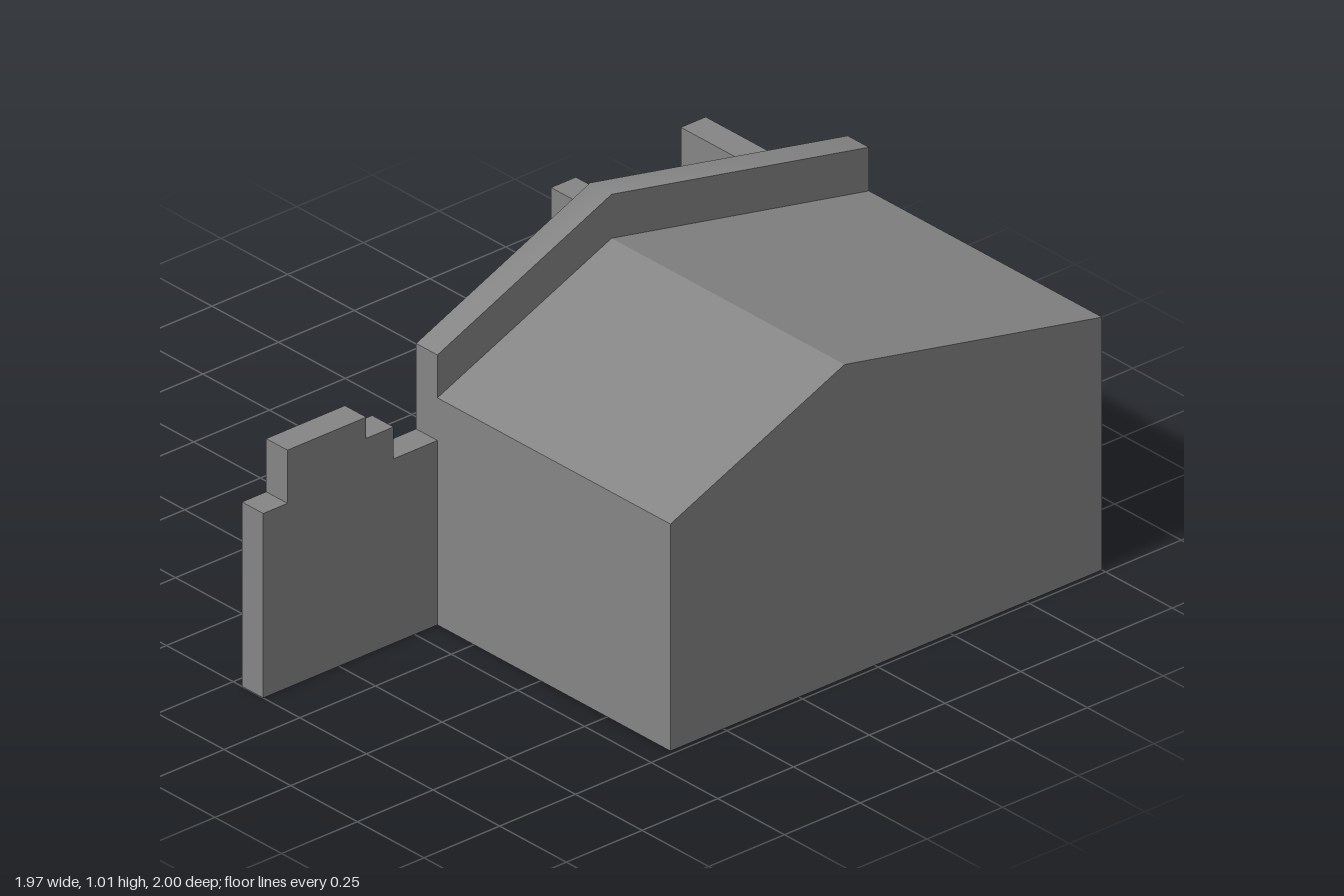
import * as THREE from 'three';
import { toCreasedNormals } from 'three/addons/utils/BufferGeometryUtils.js';

const material = new THREE.MeshStandardMaterial({ color: 0x858585 });

function slab(name, points, depth) {
  const shape = new THREE.Shape(points.map(([a, b]) => new THREE.Vector2(a, b)));
  const mesh = new THREE.Mesh(
    new THREE.ExtrudeGeometry(shape, { depth, bevelEnabled: false }), material);
  mesh.name = name;
  return mesh;
}

// Outline given as (z, y), running across from x0 to x1
function sideSlab(name, points, x0, x1) {
  const mesh = slab(name, points, x1 - x0);
  mesh.geometry.rotateY(-Math.PI / 2);
  mesh.position.x = x1;
  return mesh;
}

export function createModel() {
  const group = new THREE.Group();
  group.name = 'ruinedHouse';

  const back = -1, front = 0.425, ridge = -0.15;
  const wallX0 = 0.033, wallX1 = 0.113, right = 0.987;

  // House body with its uneven pitched roof
  group.add(sideSlab('houseBody', [
    [back, 0], [front, 0], [front, 0.64], [ridge, 0.884], [back, 0.713],
  ], wallX1, right));

  // Gable wall standing above the roof, with the broken wall in front of it
  const gableWall = sideSlab('gableWall', [
    [back, 0], [1, 0], [1, 0.52], [0.92, 0.52], [0.92, 0.67], [0.66, 0.67],
    [0.66, 0.61], [0.57, 0.61], [0.57, 0.52], [front, 0.52], [front, 0.761],
    [ridge, 1.008], [back, 0.836],
  ], wallX0, wallX1);
  // Only the shallow ridge of the coping is shaded smooth
  gableWall.geometry = toCreasedNormals(gableWall.geometry, THREE.MathUtils.degToRad(45));
  group.add(gableWall);

  // Stepped broken wall along the back
  const backWall = slab('backWall', [
    [-0.987, 0], [wallX0, 0], [wallX0, 0.672], [-0.5, 0.672], [-0.5, 0.458],
    [-0.643, 0.458], [-0.643, 0.304], [-0.987, 0.304],
  ], 0.082);
  backWall.position.z = back;
  group.add(backWall);

  return group;
}
